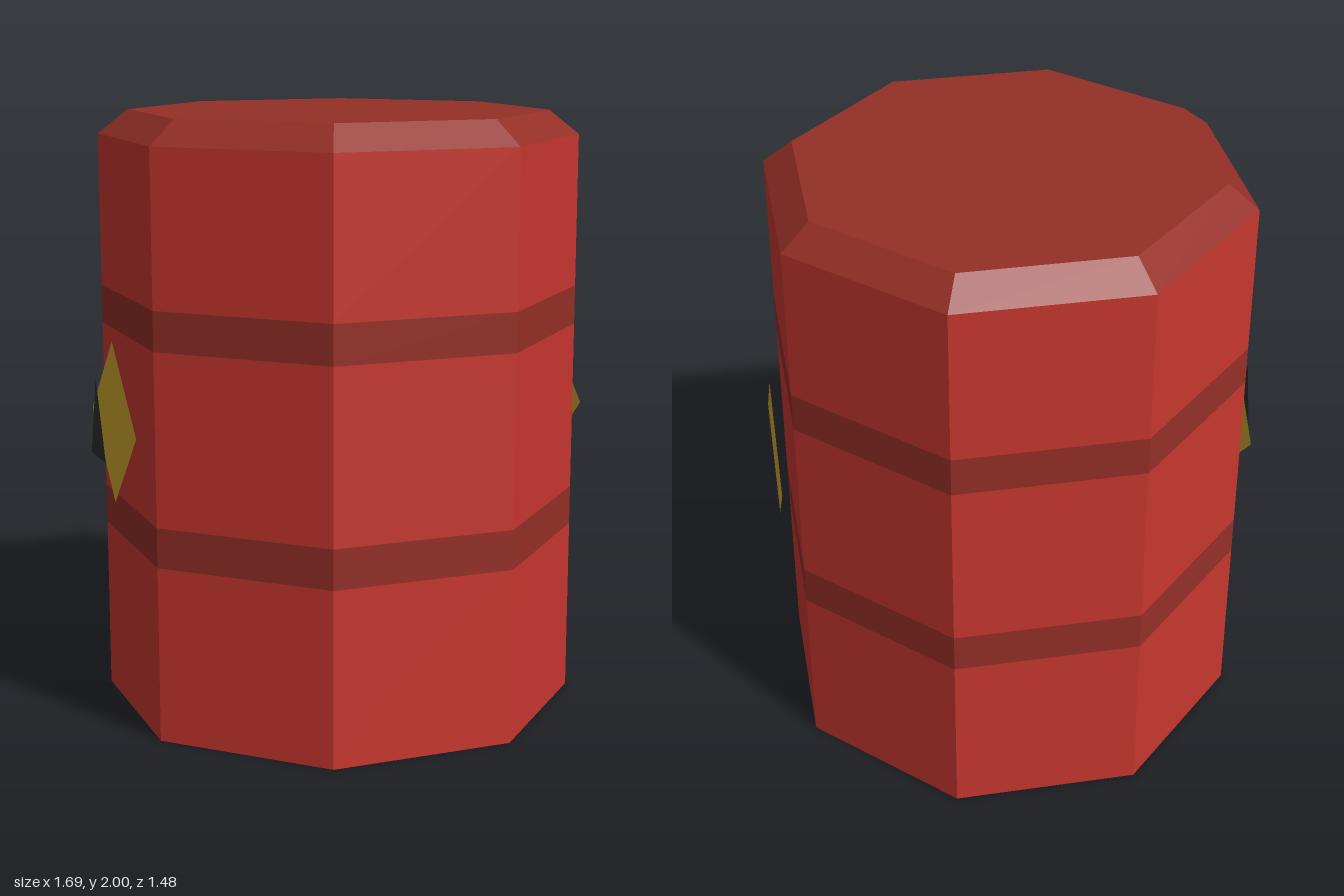
import * as THREE from 'three';

const flat = (name, color) => new THREE.MeshStandardMaterial({ name, color, flatShading: true, side: THREE.DoubleSide });

export function createModel() {
  const red = flat('barrel red', 0xc8372f);
  const darkRed = flat('dark red', 0x942f26);
  const yellow = flat('sign yellow', 0xd2a82e);
  const black = flat('sign black', 0x2d2d2d);

  const barrel = new THREE.Group();
  barrel.name = 'barrel';
  const add = (name, geometry, material, parent = barrel) => {
    const mesh = new THREE.Mesh(geometry, material);
    mesh.name = name;
    parent.add(mesh);
    return mesh;
  };

  // Eight-sided shell, open at the bottom, with flush bands
  const radius = 0.8;
  const levels = [0, 0.583, 0.715, 1.283, 1.413, 1.92];
  for (let i = 0; i < levels.length - 1; i++) {
    const height = levels[i + 1] - levels[i];
    const isBand = i % 2 === 1;
    const ring = new THREE.CylinderGeometry(radius, radius, height, 8, 1, true, Math.PI / 8);
    ring.translate(0, levels[i] + height / 2, 0);
    add(isBand ? 'band' : 'wall', ring, isBand ? darkRed : red);
  }

  // Bevelled lid
  const bevel = new THREE.CylinderGeometry(0.7, radius, 0.08, 8, 1, true, Math.PI / 8);
  bevel.translate(0, 1.96, 0);
  add('lidBevel', bevel, darkRed);
  const top = new THREE.CircleGeometry(0.7, 8, Math.PI / 8);
  top.rotateX(-Math.PI / 2).translate(0, 2, 0);
  add('lidTop', top, darkRed);

  // Warning signs standing just off the left and right faces
  const polygon = (points) => new THREE.ShapeGeometry(new THREE.Shape(points.map(([x, y]) => new THREE.Vector2(x, y))));
  for (const side of [1, -1]) {
    const sign = new THREE.Group();
    sign.name = side > 0 ? 'leftSign' : 'rightSign';
    sign.position.y = 1;
    sign.rotation.y = side * Math.PI / 2;
    const diamond = polygon([[0.27, 0], [0, 0.27], [-0.27, 0], [0, -0.27]]);
    add('diamond', diamond, yellow, sign).position.z = 0.79;
    const triangle = polygon([[-0.09, -0.113], [0.09, -0.113], [side * 0.015, 0.15]]);
    add('triangle', triangle, black, sign).position.z = 0.843;
    barrel.add(sign);
  }

  return barrel;
}
